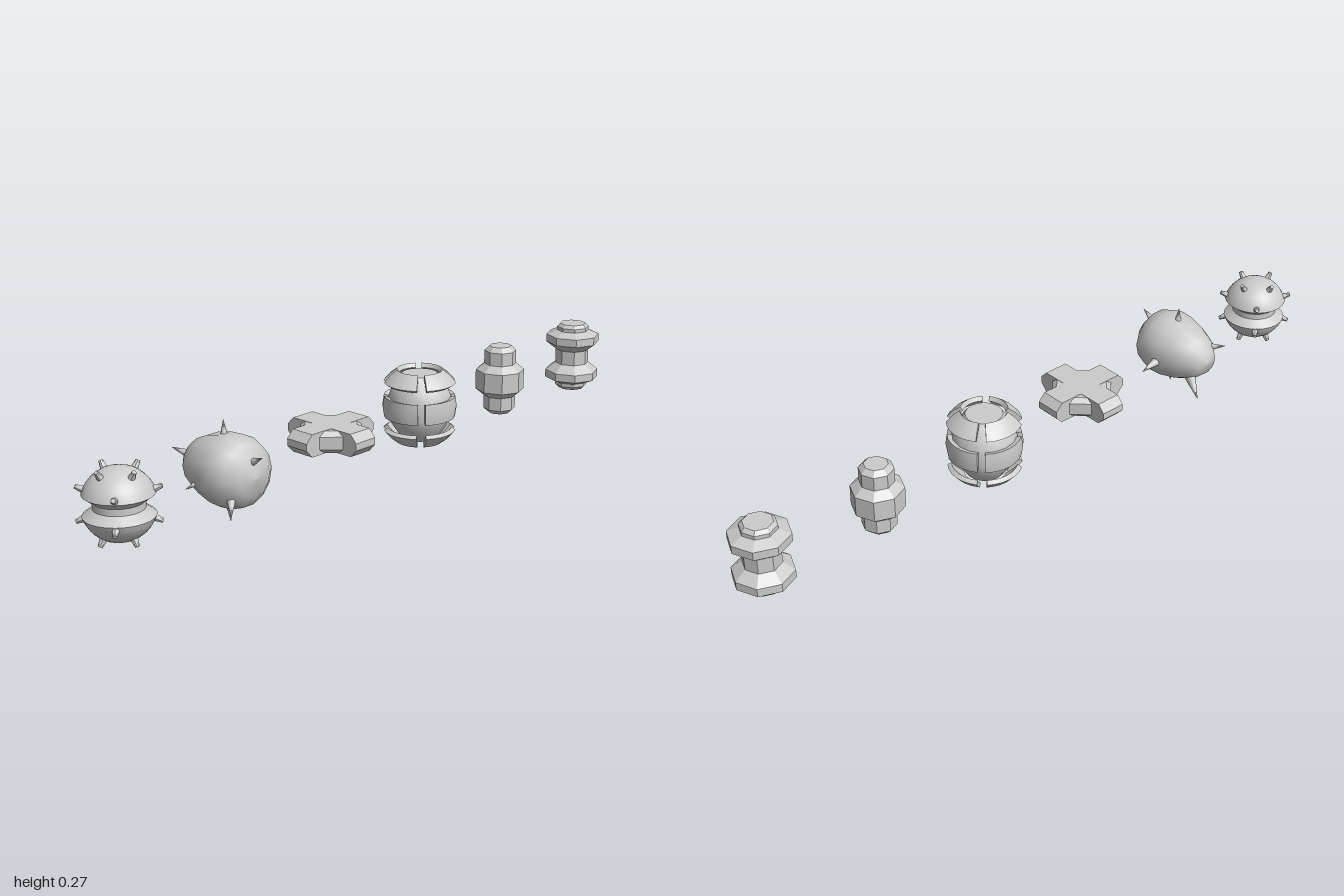
import * as THREE from 'three';
import { toCreasedNormals } from 'three/addons/utils/BufferGeometryUtils.js';

const UP = new THREE.Vector3(0, 1, 0);
const smooth = new THREE.MeshStandardMaterial({ color: 0xcccccc });
const faceted = new THREE.MeshStandardMaterial({ color: 0xcccccc, flatShading: true });

function add(group, name, geometry, material = smooth) {
  const mesh = new THREE.Mesh(geometry, material);
  mesh.name = name;
  group.add(mesh);
  return mesh;
}

// Turned body: the upper half of the profile, from top to equator, is mirrored
function turned(upper, sides) {
  const points = [
    ...upper.map(([r, y]) => new THREE.Vector2(r, -y)),
    ...upper.slice().reverse().map(([r, y]) => new THREE.Vector2(r, y)),
  ];
  return new THREE.LatheGeometry(points, sides);
}

// Tapered spike ending at the tip and pointing away from the root
function spike(group, tip, root, length, baseRadius, tipRadius, sides) {
  const dir = tip.clone().sub(root).normalize();
  const mesh = add(group, 'spike', toCreasedNormals(
    new THREE.CylinderGeometry(tipRadius, baseRadius, length, sides), 0.9));
  mesh.quaternion.setFromUnitVectors(UP, dir);
  mesh.position.copy(tip).addScaledVector(dir, -length / 2);
}

// Curved shell plate: a box whose axes become azimuth, elevation and radius
function shellPlate(azimuth, span, low, high, inner, outer) {
  const g = new THREE.BoxGeometry(span, high - low, outer - inner, 6, 2, 1);
  const p = g.attributes.position;
  for (let i = 0; i < p.count; i++) {
    const a = azimuth + p.getX(i);
    const e = (low + high) / 2 + p.getY(i);
    const r = (inner + outer) / 2 + p.getZ(i);
    p.setXYZ(i, r * Math.cos(e) * Math.sin(a), r * Math.sin(e), r * Math.cos(e) * Math.cos(a));
  }
  return toCreasedNormals(g, 0.6);
}

// Ball with a grooved equator and two rows of studs per half
function studdedBall() {
  const group = new THREE.Group();
  const profile = [];
  for (let i = 0; i <= 8; i++) {
    const a = (i / 8) * 1.27;
    profile.push([0.096 * Math.sin(a), 0.096 * Math.cos(a)]);
  }
  profile.push([0.066, 0.009]);
  add(group, 'groovedBall', toCreasedNormals(turned(profile, 24), 0.6));
  const root = new THREE.Vector3();
  for (const side of [1, -1]) {
    for (let k = 0; k < 8; k++) {
      const a = k * Math.PI / 4;
      const e = side * (k % 2 ? 0.41 : 0.98);
      const tip = new THREE.Vector3(Math.cos(e) * Math.sin(a), Math.sin(e), Math.cos(e) * Math.cos(a));
      spike(group, tip.multiplyScalar(0.115), root, 0.03, 0.011, 0.006, 8);
    }
  }
  return group;
}

// Egg lying along x with scattered sharp thorns
function thornyEgg() {
  const group = new THREE.Group();
  const profile = [[0, -0.135], [0.035, -0.128], [0.065, -0.095], [0.085, -0.05], [0.097, 0],
    [0.099, 0.04], [0.085, 0.08], [0.052, 0.107], [0, 0.117]];
  const egg = new THREE.LatheGeometry(profile.map(([r, y]) => new THREE.Vector2(r, y)), 14);
  add(group, 'egg', egg.rotateZ(-Math.PI / 2));
  const tips = [[-0.006, 0.131, 0], [0.143, 0.063, 0.005], [-0.01, -0.025, -0.148],
    [-0.142, 0.04, 0.06], [-0.145, -0.096, -0.05], [0.024, -0.136, 0.01],
    [0.11, -0.082, 0.085], [-0.04, -0.04, 0.105]];
  for (const [x, y, z] of tips) {
    const root = new THREE.Vector3(x * 0.15, 0, 0);
    spike(group, new THREE.Vector3(x, y, z), root, 0.07, 0.016, 0.0005, 8);
  }
  return group;
}

// Flat cross with chamfered arms and a thinner plate between them
function crossPlate() {
  const group = new THREE.Group();
  const side = new THREE.Shape([[0.13, -0.01], [0.13, 0.01], [0.109, 0.032], [-0.109, 0.032],
    [-0.13, 0.01], [-0.13, -0.01], [-0.109, -0.032], [0.109, -0.032]]
    .map(([x, y]) => new THREE.Vector2(x, y)));
  for (const turn of [0, Math.PI / 2]) {
    const arm = new THREE.ExtrudeGeometry(side, { depth: 0.074, bevelEnabled: false });
    add(group, 'crossArm', arm.translate(0, 0, -0.037).rotateY(turn), faceted);
  }
  const corners = [];
  for (let k = 0; k < 4; k++) {
    const c = Math.round(Math.cos(k * Math.PI / 2)), s = Math.round(Math.sin(k * Math.PI / 2));
    for (const [x, y] of [[0.074, 0.026], [0.026, 0.074]]) {
      corners.push(new THREE.Vector2(x * c - y * s, x * s + y * c));
    }
  }
  const core = new THREE.ExtrudeGeometry(new THREE.Shape(corners), {
    depth: 0.036, bevelThickness: 0.013, bevelSize: 0.013, bevelSegments: 1,
  });
  add(group, 'crossCore', core.translate(0, 0, -0.018).rotateX(Math.PI / 2), faceted);
  return group;
}

// Flat-ended ball wrapped by three rows of separate plates
function platedBall() {
  const group = new THREE.Group();
  const profile = [[0, 0.095], [0.052, 0.095], [0.063, 0.08], [0.08, 0.055], [0.09, 0.028], [0.094, 0]];
  add(group, 'core', toCreasedNormals(turned(profile.slice(0, -1), 16), 0.5));
  for (let k = 0; k < 4; k++) {
    const a = k * Math.PI / 2;
    add(group, 'equatorPlate', shellPlate(a, 1.36, -0.29, 0.29, 0.09, 0.107));
    add(group, 'upperPlate', shellPlate(a, 1.3, 0.6, 1.02, 0.112, 0.126));
    add(group, 'lowerPlate', shellPlate(a, 1.3, -1.02, -0.6, 0.112, 0.126));
  }
  return group;
}

// Octagonal pin with a wide collar
function collaredPin() {
  const group = new THREE.Group();
  add(group, 'collaredPin', turned([[0, 0.104], [0.033, 0.104], [0.048, 0.09], [0.048, 0.05],
    [0.073, 0.03]], 8), faceted);
  return group;
}

// Octagonal spool with a wide flange at each end
function spool() {
  const group = new THREE.Group();
  add(group, 'spool', turned([[0, 0.105], [0.04, 0.105], [0.05, 0.095], [0.05, 0.084],
    [0.083, 0.07], [0.083, 0.046], [0.052, 0.022]], 8), faceted);
  return group;
}

export function createModel() {
  const model = new THREE.Group();
  model.name = 'mineSet';
  const parts = [
    ['studdedBall', studdedBall(), 0.908],
    ['thornyEgg', thornyEgg(), 0.56],
    ['crossPlate', crossPlate(), 0.176],
    ['platedBall', platedBall(), -0.187],
    ['collaredPinMine', collaredPin(), -0.553],
    ['spoolMine', spool(), -0.917],
  ];
  for (const [name, part, z] of parts) {
    part.name = name;
    part.position.set(0, 0.138, z);
    model.add(part);
  }
  return model;
}
